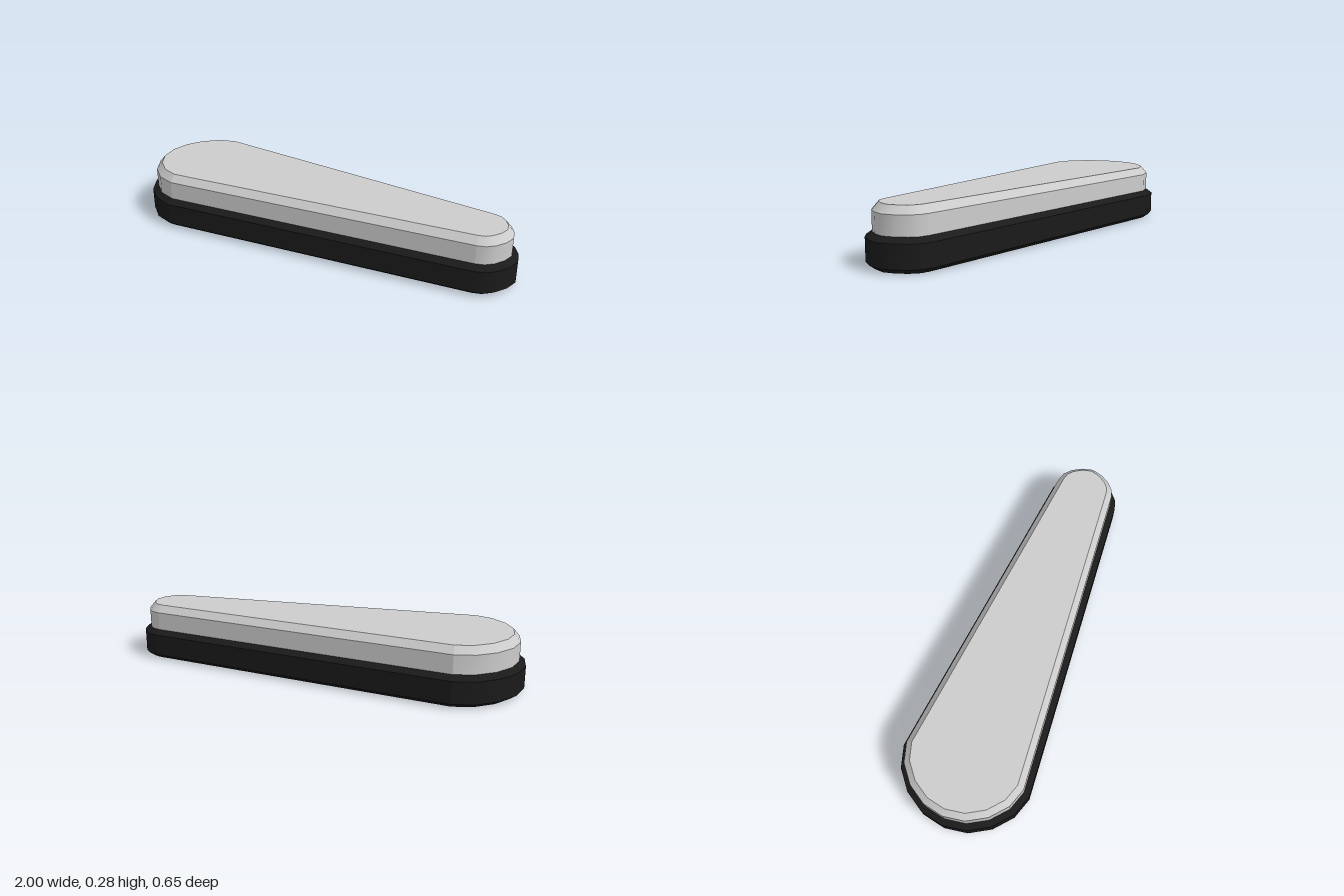
import * as THREE from 'three';
import { mergeGeometries } from 'three/addons/utils/BufferGeometryUtils.js';

// Plan outline (x, -z), counter-clockwise: narrow round end, then wide round end
const mirrored = (half) => [...half.map(([x, s]) => [x, -s]), ...half.slice(0, -1).reverse()];
const narrowEnd = mirrored([[0.855, 0.176], [0.905, 0.161], [0.948, 0.123], [0.982, 0.068], [1, 0]]);
const wideEnd = mirrored([[-0.725, 0.324], [-0.83, 0.29], [-0.92, 0.214], [-0.98, 0.113], [-1, 0]])
  .reverse();
const outline = [...narrowEnd, ...wideEnd].map(([x, s]) => new THREE.Vector2(x, s));
const count = outline.length;
const n = narrowEnd.length;

// Runs of the outline that are smooth in themselves: end, side, end, side
const runs = [[0, n - 1], [n - 1, n], [n, count - 1], [count - 1, count]];

// Move the outline inwards by a constant distance, with mitred corners
function inset(distance) {
  return outline.map((p, i) => {
    const prev = outline[(i + count - 1) % count];
    const next = outline[(i + 1) % count];
    const a = p.clone().sub(prev).normalize();
    const b = next.clone().sub(p).normalize();
    const na = new THREE.Vector2(-a.y, a.x);
    const nb = new THREE.Vector2(-b.y, b.x);
    const miter = na.clone().add(nb).normalize();
    return p.clone().addScaledVector(miter, distance / miter.dot(na));
  });
}

// One band of wall between two levels given as [inset, height]
function band([lowInset, lowY], [highInset, highY]) {
  const low = inset(lowInset);
  const high = inset(highInset);
  return runs.map(([start, end]) => {
    const positions = [];
    const index = [];
    for (let i = start; i <= end; i++) {
      const a = low[i % count];
      const b = high[i % count];
      positions.push(a.x, lowY, -a.y, b.x, highY, -b.y);
      if (i < end) {
        const k = (i - start) * 2;
        index.push(k, k + 2, k + 3, k, k + 3, k + 1);
      }
    }
    const geometry = new THREE.BufferGeometry();
    geometry.setAttribute('position', new THREE.Float32BufferAttribute(positions, 3));
    geometry.setIndex(index);
    geometry.computeVertexNormals();
    return geometry;
  });
}

// Open wall through a list of levels
function wall(levels) {
  const bands = [];
  for (let i = 0; i < levels.length - 1; i++) bands.push(...band(levels[i], levels[i + 1]));
  return mergeGeometries(bands);
}

function addMesh(group, name, geometry, material) {
  const mesh = new THREE.Mesh(geometry, material);
  mesh.name = name;
  group.add(mesh);
  return mesh;
}

export function createModel() {
  const group = new THREE.Group();
  group.name = 'taperedCover';
  const grey = new THREE.MeshStandardMaterial({ color: 0xcccccc, side: THREE.DoubleSide });
  const black = new THREE.MeshStandardMaterial({ color: 0x1a1a1a, side: THREE.DoubleSide });

  // Black base rim, bevelled at both edges and open underneath
  addMesh(group, 'baseRim', wall([[0.03, 0], [0, 0.022], [0, 0.128], [0.03, 0.15]]), black);

  // Grey upper wall with a chamfer
  addMesh(group, 'upperWall', wall([[0.03, 0.15], [0.03, 0.24], [0.06, 0.275]]), grey);

  // Flat top
  const top = new THREE.ShapeGeometry(new THREE.Shape(inset(0.06)));
  top.rotateX(-Math.PI / 2).translate(0, 0.275, 0);
  addMesh(group, 'topPlate', top, grey);

  return group;
}
